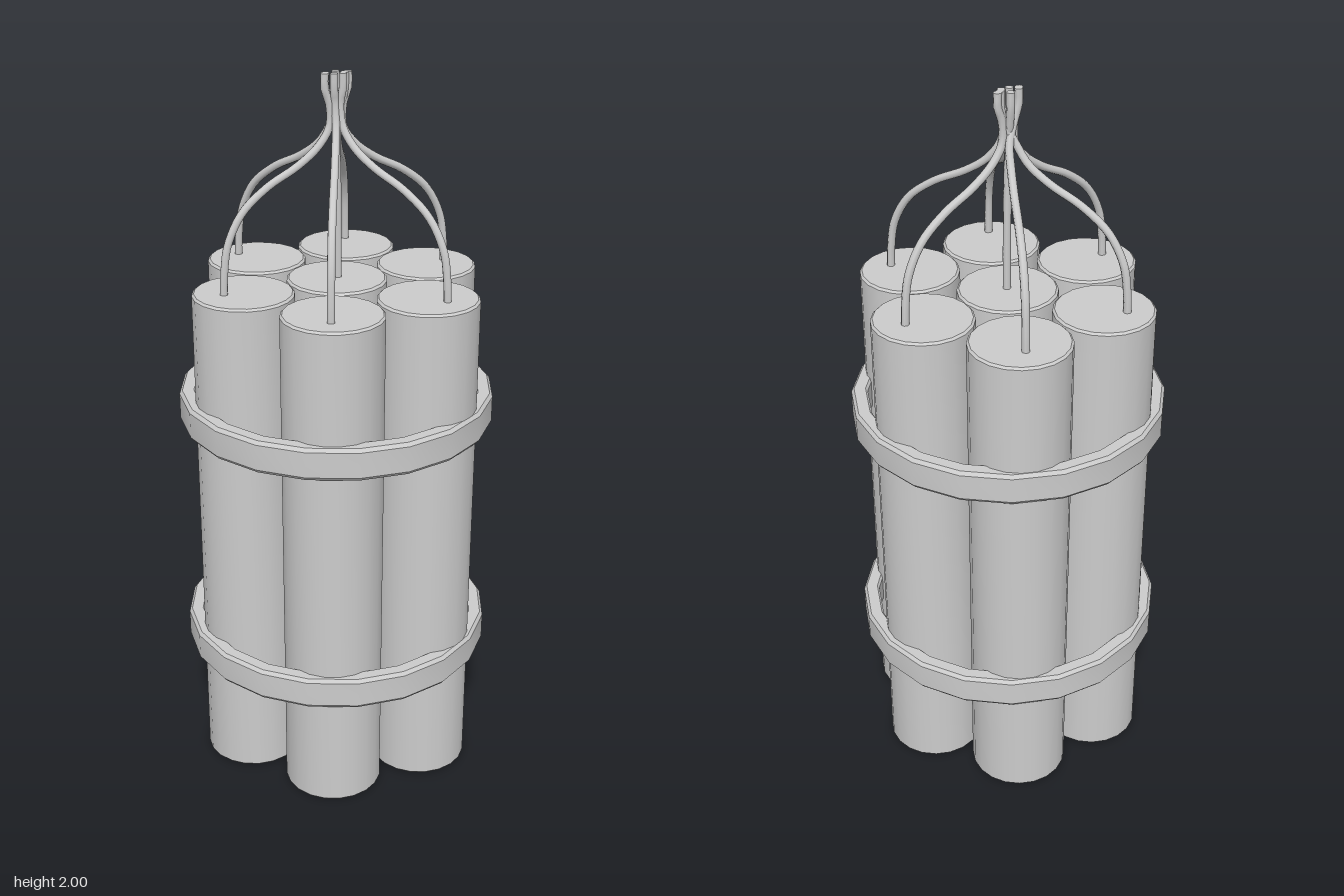
import * as THREE from 'three';
import { toCreasedNormals } from 'three/addons/utils/BufferGeometryUtils.js';

const SIDES = 20;
const STICK_R = 0.138;
const STICK_H = 1.444;

const material = new THREE.MeshStandardMaterial({ color: 0xcccccc });

function addMesh(group, name, geometry) {
  const mesh = new THREE.Mesh(geometry, material);
  mesh.name = name;
  group.add(mesh);
  return mesh;
}

// Lathe with crisp edges where the profile turns sharply
function turned(points) {
  const profile = points.map(([r, y]) => new THREE.Vector2(r, y));
  return toCreasedNormals(new THREE.LatheGeometry(profile, SIDES), 0.6);
}

// Each stick: centre x, z; fuse root x, z; fuse tip x, z
const STICKS = [
  [0.002, 0, 0.005, 0, 0.006, -0.018],
  [-0.275, 0.002, -0.33, 0, -0.034, 0.001],
  [0.278, 0.002, 0.335, 0, 0.034, 0],
  [-0.13, -0.247, -0.165, -0.298, 0.022, 0.004],
  [-0.13, 0.25, -0.163, 0.308, -0.012, 0.012],
  [0.15, -0.247, 0.172, -0.298, -0.028, -0.006],
  [0.15, 0.25, 0.178, 0.302, 0.012, 0.014],
];

// Fuse bend: share of the root offset kept at each height
const BEND = [
  [1, 1.43], [0.99, 1.5], [0.95, 1.58], [0.82, 1.66], [0.6, 1.72],
  [0.34, 1.765], [0.16, 1.81], [0.06, 1.86],
];

function addFuse(group, rootX, rootZ, tipX, tipZ) {
  const points = BEND.map(([k, y]) => new THREE.Vector3(rootX * k, y, rootZ * k));
  points.push(new THREE.Vector3(tipX * 0.6, 1.92, tipZ * 0.6));
  points.push(new THREE.Vector3(tipX, 1.96, tipZ));
  points.push(new THREE.Vector3(tipX, 2, tipZ));
  const curve = new THREE.CatmullRomCurve3(points);
  addMesh(group, 'fuse', new THREE.TubeGeometry(curve, 36, 0.011, 8));

  // Closed end of the fuse
  const cap = addMesh(group, 'fuseTip', new THREE.CircleGeometry(0.011, 8));
  cap.position.set(tipX, 2, tipZ);
  cap.quaternion.setFromUnitVectors(new THREE.Vector3(0, 0, 1), curve.getTangent(1));
}

export function createModel() {
  const model = new THREE.Group();
  model.name = 'stickBundle';

  // Sticks with a fine bevel at both ends, each with its fuse
  const bevel = 0.006;
  const stickGeometry = turned([
    [0, 0], [STICK_R - bevel, 0], [STICK_R, bevel],
    [STICK_R, STICK_H - bevel], [STICK_R - bevel, STICK_H], [0, STICK_H],
  ]);
  for (const [x, z, ...fuse] of STICKS) {
    addMesh(model, 'stick', stickGeometry).position.set(x, 0, z);
    addFuse(model, ...fuse);
  }

  // Two straps round the bundle
  const strapGeometry = turned([
    [0.4, -0.046], [0.432, -0.046], [0.44, -0.036], [0.44, 0.036],
    [0.432, 0.046], [0.4, 0.046], [0.394, 0.038], [0.394, -0.038], [0.4, -0.046],
  ]);
  for (const y of [0.376, 1.084]) {
    addMesh(model, 'strap', strapGeometry).position.y = y;
  }

  return model;
}
